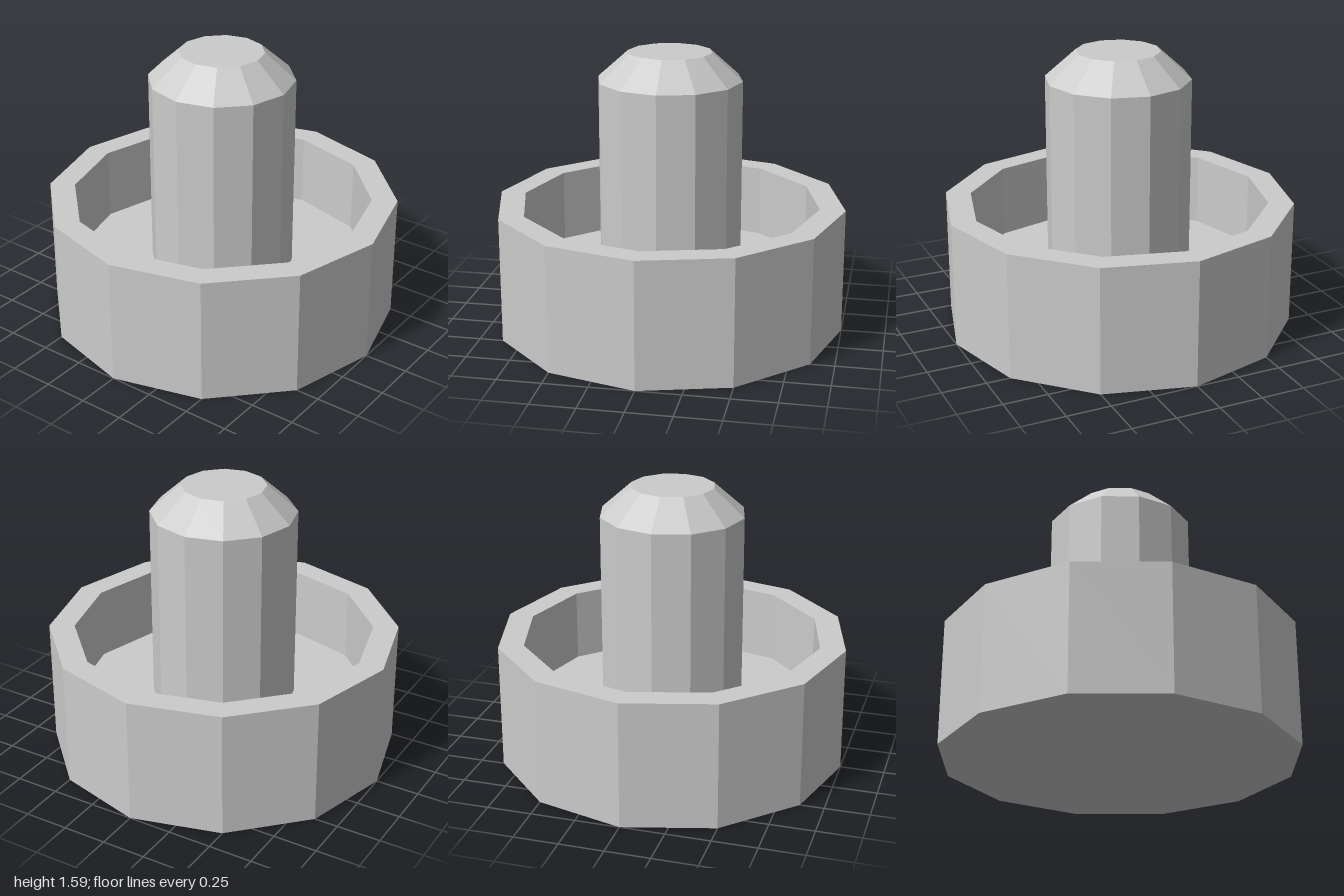
import * as THREE from 'three';

const SIDES = 12;
const material = new THREE.MeshStandardMaterial({ color: 0xcccccc, flatShading: true });

// Faceted solid of revolution from [radius, height] pairs
function turned(name, profile) {
  const points = profile.map(([r, y]) => new THREE.Vector2(r, y));
  const mesh = new THREE.Mesh(new THREE.LatheGeometry(points, SIDES), material);
  mesh.name = name;
  return mesh;
}

export function createModel() {
  const group = new THREE.Group();
  group.name = 'cupWithPost';

  const wallTop = 0.72, floorY = 0.3, postRadius = 0.41;

  // Open cup: underside, outer wall, rim, inner wall and floor up to the post
  group.add(turned('cup', [
    [0, 0], [1, 0], [1, wallTop], [0.855, wallTop], [0.855, floorY], [postRadius, floorY],
  ]));

  // Central post with a chamfered, flat top
  group.add(turned('post', [
    [postRadius, floorY], [postRadius, 1.435], [0.237, 1.59], [0, 1.59],
  ]));

  return group;
}
